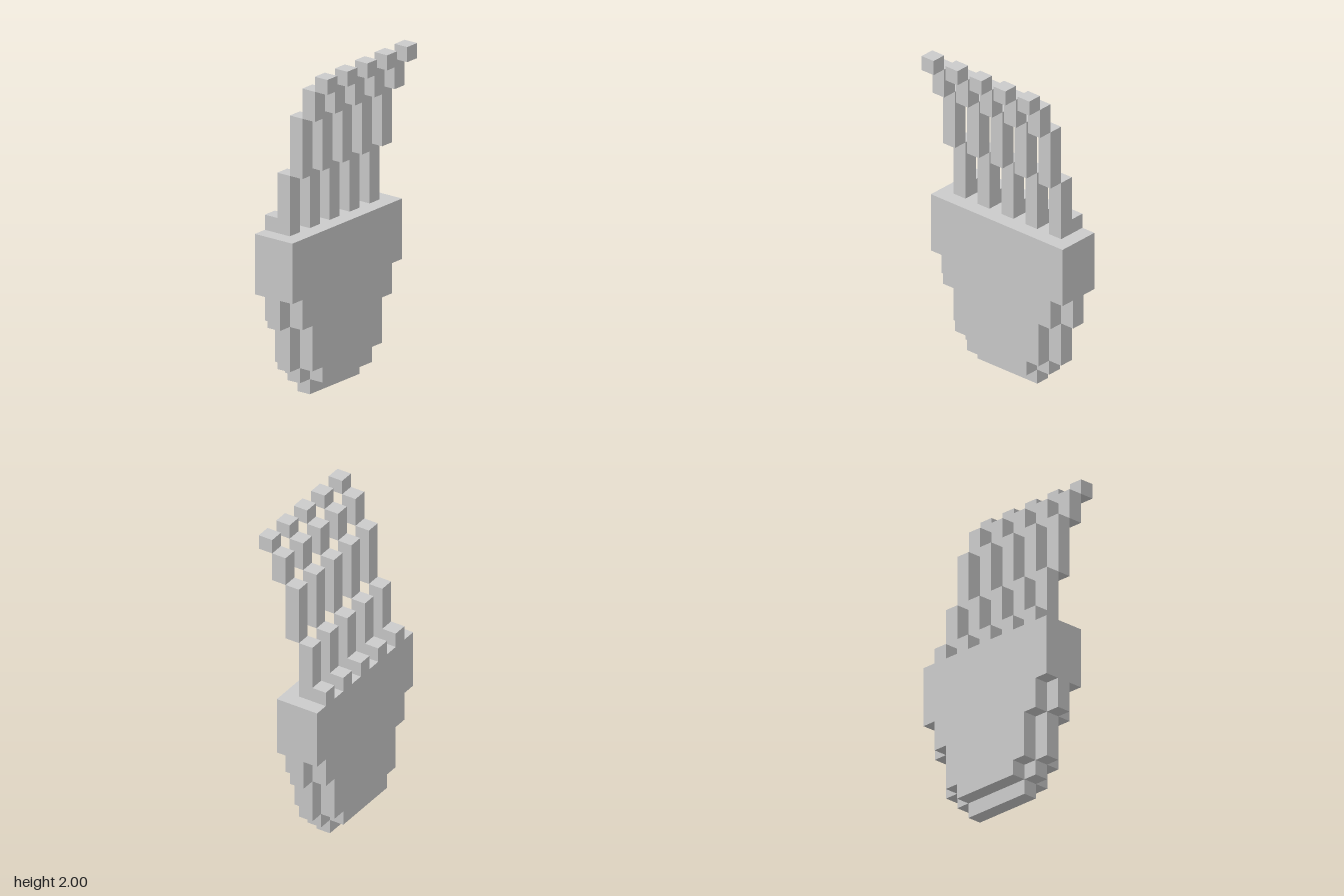
import * as THREE from 'three';

const U = 1 / 11; // one voxel: the model is 22 voxels tall
const material = new THREE.MeshStandardMaterial({ color: 0xcccccc, flatShading: true });

// Stepped plate, mirrored in z; each step is [half width, bottom, top] in voxels
function steppedPlate(name, steps, x) {
  const side = [];
  for (const [half, bottom, top] of steps) side.push([half, bottom], [half, top]);
  const mirrored = side.map(([h, y]) => [-h, y]).reverse();
  const outline = [...side, ...mirrored].map(([h, y]) => new THREE.Vector2(h * U, y * U));
  const geometry = new THREE.ExtrudeGeometry(new THREE.Shape(outline), { depth: U, bevelEnabled: false });
  const mesh = new THREE.Mesh(geometry, material);
  mesh.name = name;
  mesh.rotation.y = Math.PI / 2;
  mesh.position.x = x * U;
  return mesh;
}

// Prong climbing towards +x; each segment is [centre x, bottom, top] in voxels
const SEGMENTS = [[-2, 11, 12], [-1, 11, 15], [0, 15, 19], [1, 19, 21], [2, 21, 22]];

function createProng(z) {
  const prong = new THREE.Group();
  prong.name = 'prong';
  for (const [x, bottom, top] of SEGMENTS) {
    const mesh = new THREE.Mesh(new THREE.BoxGeometry(U, (top - bottom) * U, U), material);
    mesh.name = 'prongSegment';
    mesh.position.set(x * U, (bottom + top) / 2 * U, z * U);
    prong.add(mesh);
  }
  return prong;
}

export function createModel() {
  const model = new THREE.Group();
  model.name = 'prongedHead';

  // Tapering body: a deeper core between two shorter side plates
  const core = [[2.5, 0, 1], [3.5, 1, 2], [4.5, 2, 5], [5.5, 5, 11]];
  const cheek = [[2.5, 1, 2], [3.5, 2, 5], [4.5, 5, 7], [5.5, 7, 11]];
  model.add(
    steppedPlate('bodyCore', core, -1.5),
    steppedPlate('rightBodyPlate', cheek, -2.5),
    steppedPlate('leftBodyPlate', cheek, -0.5),
  );

  // Row of five prongs
  for (let z = -4; z <= 4; z += 2) model.add(createProng(z));
  return model;
}
